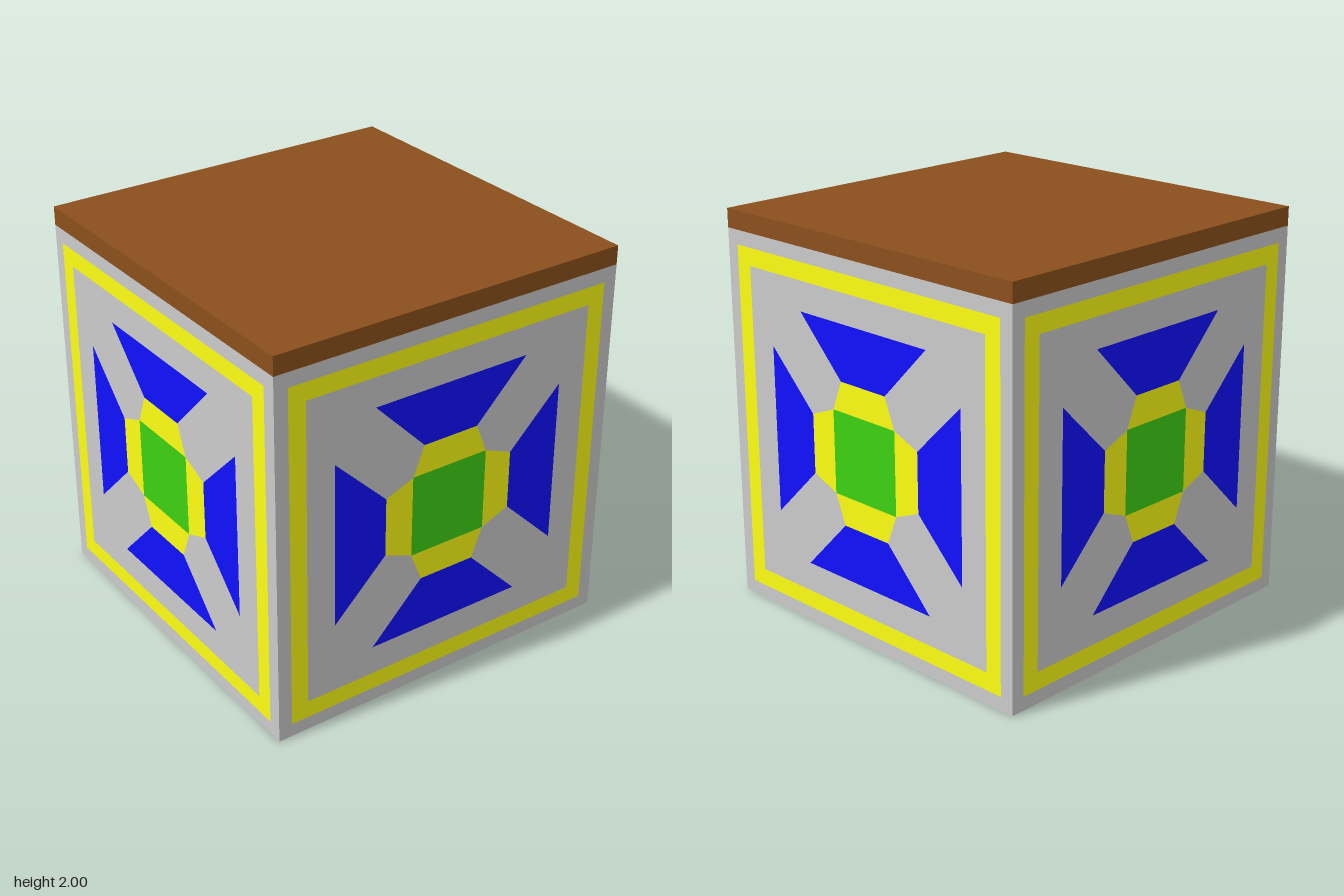
import * as THREE from 'three';

const mat = (color) => new THREE.MeshStandardMaterial({ color });
const GREY = mat(0xcccccc), YELLOW = mat(0xffff14), BLUE = mat(0x1010ff);
const GREEN = mat(0x3dd213), BROWN = mat(0x8b501c);

const HALF = 0.95;    // half width of the block
const LIFT = 0.002;   // inlays sit just proud of the surface
const BODY_TOP = 1.905;
const CENTRE_Y = 0.953;

function add(parent, name, geometry, material) {
  const mesh = new THREE.Mesh(geometry, material);
  mesh.name = name;
  parent.add(mesh);
  return mesh;
}

const polygon = (points) => new THREE.Shape(points.map(([x, y]) => new THREE.Vector2(x, y)));
const square = (h) => polygon([[-h, -h], [h, -h], [h, h], [-h, h]]);

// Trapezoid above the centre: half width w0 at height y0, w1 at height y1
const trapezoid = (w0, y0, w1, y1) =>
  new THREE.ShapeGeometry(polygon([[-w0, y0], [w0, y0], [w1, y1], [-w1, y1]]));

// Inlaid pattern of one side
function createPanel() {
  const panel = new THREE.Group();
  const frame = square(0.88);
  frame.holes.push(square(0.79));
  add(panel, 'borderFrame', new THREE.ShapeGeometry(frame), YELLOW);
  add(panel, 'centreSquare', new THREE.ShapeGeometry(square(0.21)), GREEN);
  for (let i = 0; i < 4; i++) {
    const angle = i * Math.PI / 2;
    add(panel, 'innerPetal', trapezoid(0.21, 0.21, 0.15, 0.36), YELLOW).rotation.z = angle;
    add(panel, 'outerPetal', trapezoid(0.15, 0.36, 0.425, 0.64), BLUE).rotation.z = angle;
  }
  return panel;
}

export function createModel() {
  const model = new THREE.Group();
  model.name = 'decoratedBlock';

  // Body and lid
  const bodyHeight = BODY_TOP - LIFT;
  add(model, 'body', new THREE.BoxGeometry(2 * HALF, bodyHeight, 2 * HALF), GREY)
    .position.y = LIFT + bodyHeight / 2;
  add(model, 'lid', new THREE.BoxGeometry(2 * HALF, 2 - BODY_TOP, 2 * HALF), BROWN)
    .position.y = (2 + BODY_TOP) / 2;

  // Four identical side panels
  ['front', 'left', 'back', 'right'].forEach((side, i) => {
    const panel = createPanel();
    const angle = i * Math.PI / 2;
    const d = HALF + LIFT;
    panel.name = side + 'Panel';
    panel.rotation.y = angle;
    panel.position.set(Math.sin(angle) * d, CENTRE_Y, Math.cos(angle) * d);
    model.add(panel);
  });

  // Square inlay on the underside
  add(model, 'baseInlay', new THREE.ShapeGeometry(square(0.8)), BLUE).rotation.x = Math.PI / 2;

  return model;
}
